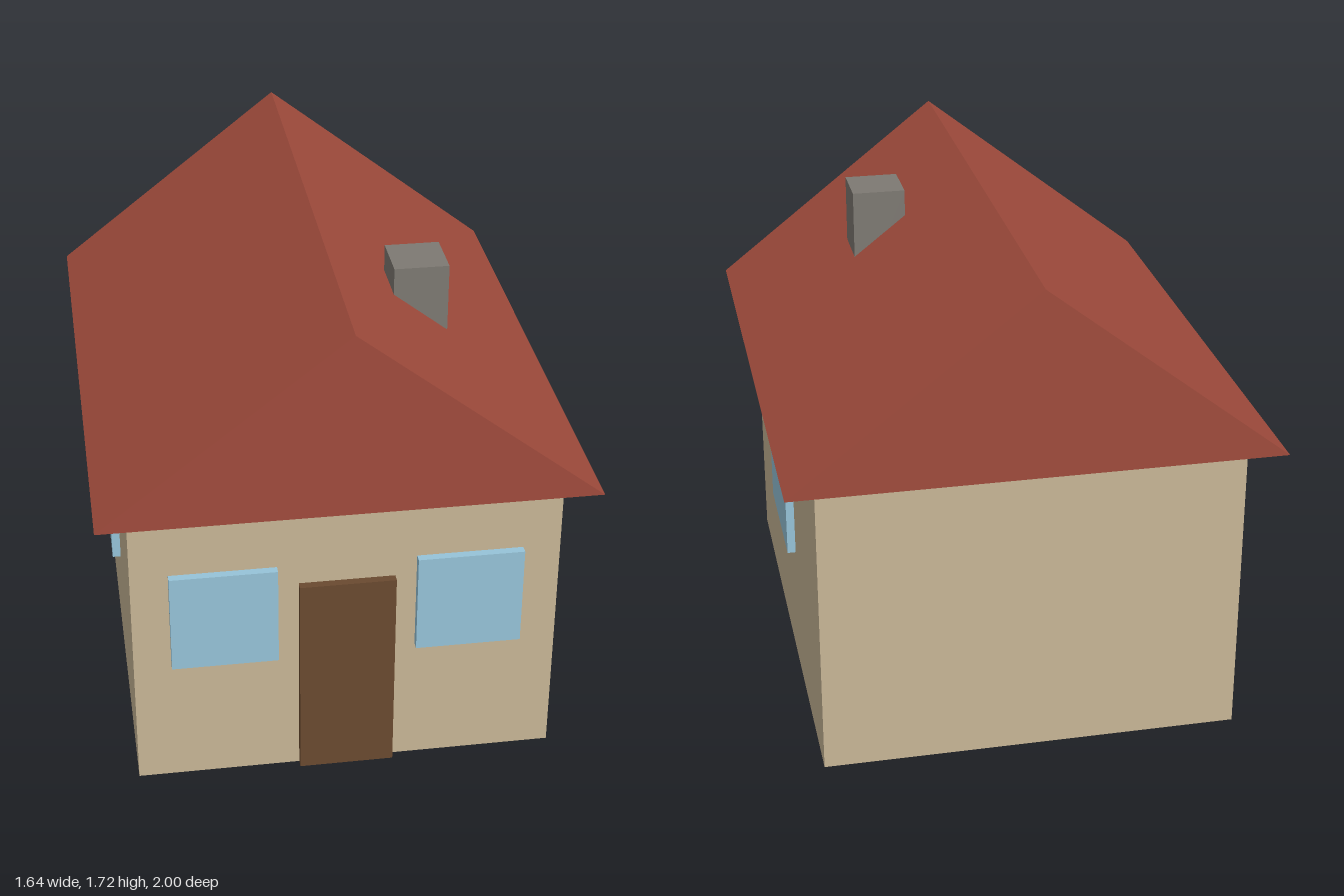
import * as THREE from 'three';

const paint = (color, side = THREE.FrontSide) =>
  new THREE.MeshStandardMaterial({ color, side, flatShading: true });

const wallPaint = paint(0xc8b696);
const roofPaint = paint(0xa04b3c, THREE.DoubleSide);
const doorPaint = paint(0x6a4a30);
const glassPaint = paint(0x96c3d8);
const stonePaint = paint(0x7d7972);

// Box given by its size and centre
function box(name, material, size, centre) {
  const mesh = new THREE.Mesh(new THREE.BoxGeometry(...size), material);
  mesh.name = name;
  mesh.position.set(...centre);
  return mesh;
}

// Hollow gable roof: two slopes and two gable ends, open underneath
function gableRoof(halfWidth, eave, ridge, halfLength) {
  const [w, e, r, l] = [halfWidth, eave, ridge, halfLength];
  const corners = [
    -w, e, l, w, e, l, 0, r, l,
    -w, e, -l, w, e, -l, 0, r, -l,
  ];
  const faces = [
    0, 1, 2, 4, 3, 5, // gable ends
    1, 4, 5, 1, 5, 2, // left slope
    3, 0, 2, 3, 2, 5, // right slope
  ];
  const indexed = new THREE.BufferGeometry();
  indexed.setAttribute('position', new THREE.Float32BufferAttribute(corners, 3));
  indexed.setIndex(faces);
  const geometry = indexed.toNonIndexed();
  geometry.computeVertexNormals();
  const mesh = new THREE.Mesh(geometry, roofPaint);
  mesh.name = 'roof';
  return mesh;
}

export function createModel() {
  const house = new THREE.Group();
  house.name = 'house';

  house.add(box('walls', wallPaint, [1.43, 1.073, 1.786], [0, 0.5365, 0]));
  house.add(gableRoof(0.82, 1.073, 1.715, 1));
  house.add(box('chimney', stonePaint, [0.185, 0.43, 0.185], [0.32, 1.415, 0.313]));
  house.add(box('door', doorPaint, [0.322, 0.75, 0.057], [0, 0.375, 0.893]));

  // Mirrored front and side windows
  for (const [side, label] of [[1, 'left'], [-1, 'right']]) {
    house.add(box(`${label}FrontWindow`, glassPaint,
      [0.357, 0.357, 0.057], [side * 0.411, 0.643, 0.893]));
    house.add(box(`${label}SideWindow`, glassPaint,
      [0.057, 0.357, 0.465], [side * 0.715, 0.643, 0]));
  }
  return house;
}
